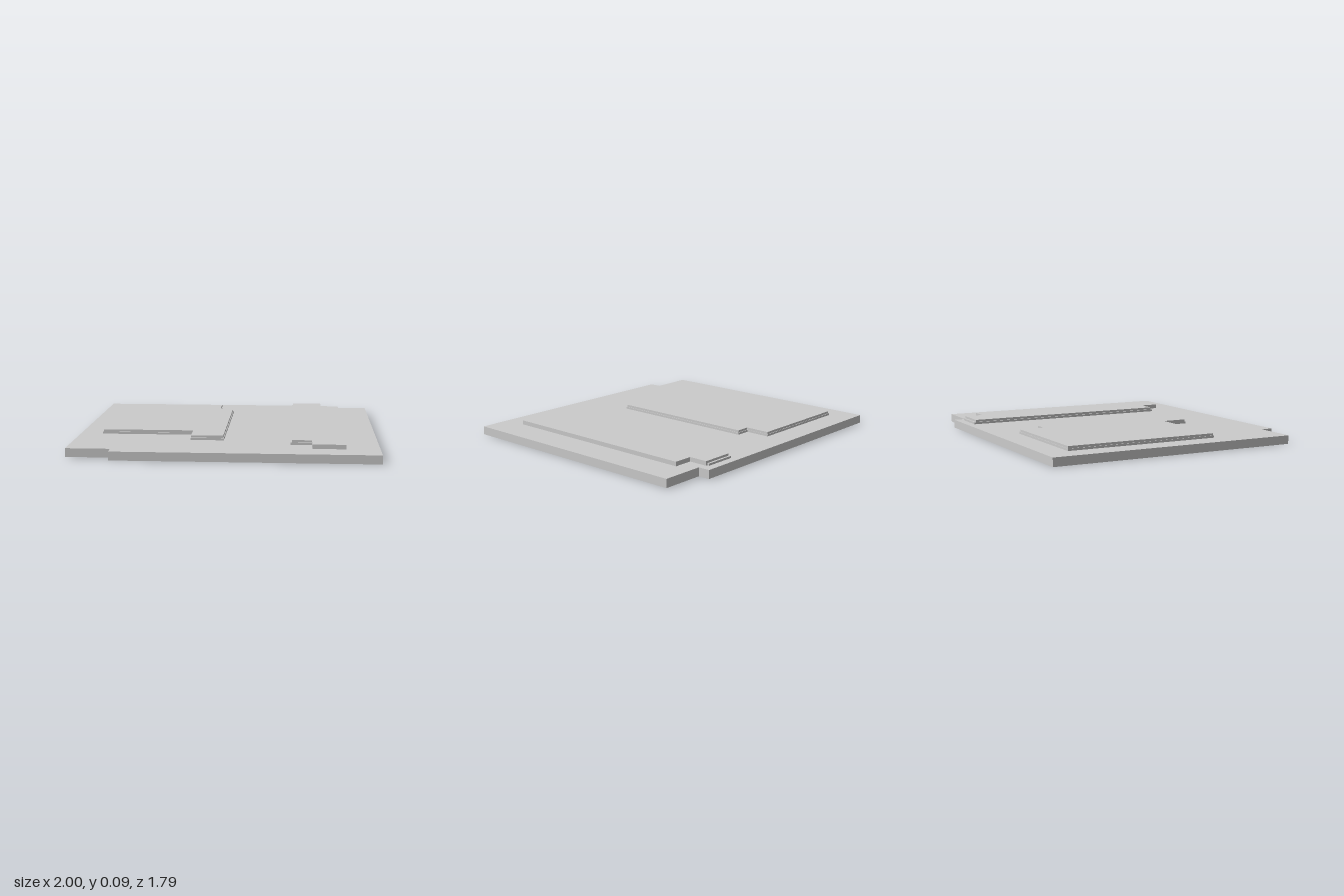
import * as THREE from 'three';

const material = new THREE.MeshStandardMaterial({ color: 0xcccccc, flatShading: true });

// Flat slab with a plan outline given as [x, z] corners, between two heights
function slab(name, outline, bottom, top) {
  const shape = new THREE.Shape(outline.map(([x, z]) => new THREE.Vector2(x, -z)));
  const geometry = new THREE.ExtrudeGeometry(shape, { depth: top - bottom, bevelEnabled: false });
  geometry.rotateX(-Math.PI / 2).translate(0, bottom, 0);
  const mesh = new THREE.Mesh(geometry, material);
  mesh.name = name;
  return mesh;
}

export function createModel() {
  const model = new THREE.Group();
  model.name = 'steppedPlate';
  const baseTop = 0.057, ledgeTop = 0.071, plateTop = 0.086;

  // Base with notches in two opposite corners
  model.add(slab('base', [
    [-1, -0.896], [0.708, -0.896], [0.708, -0.816], [1, -0.816],
    [1, 0.896], [-0.71, 0.896], [-0.71, 0.814], [-1, 0.814],
  ], 0, baseTop));

  // Wide raised plate: a lower ledge slightly larger than the top layer
  const wide = new THREE.Group();
  wide.name = 'widePlate';
  wide.add(
    slab('wideLedge', [
      [-0.849, -0.726], [-0.108, -0.726], [-0.108, -0.555], [-0.01, -0.555],
      [-0.01, 0.502], [-0.23, 0.502], [-0.23, 0.327], [-0.849, 0.327],
    ], baseTop, ledgeTop),
    slab('wideTop', [
      [-0.844, -0.722], [-0.111, -0.722], [-0.111, -0.551], [-0.015, -0.551],
      [-0.015, 0.492], [-0.23, 0.492], [-0.23, 0.322], [-0.844, 0.322],
    ], ledgeTop, plateTop),
  );

  // Narrow raised plate: the ledge shows along its right and back sides
  const narrow = new THREE.Group();
  narrow.name = 'narrowPlate';
  narrow.add(
    slab('narrowLedge', [
      [0.43, -0.843], [0.644, -0.843], [0.644, -0.829], [0.655, -0.829], [0.655, -0.7], [0.785, -0.7],
      [0.785, 0.732], [0.569, 0.732], [0.569, 0.614], [0.43, 0.614],
    ], baseTop, ledgeTop),
    slab('narrowTop', [
      [0.44, -0.829], [0.655, -0.829], [0.655, -0.7], [0.785, -0.7],
      [0.785, 0.732], [0.569, 0.732], [0.569, 0.604], [0.44, 0.604],
    ], ledgeTop, plateTop),
  );

  model.add(wide, narrow);
  return model;
}
